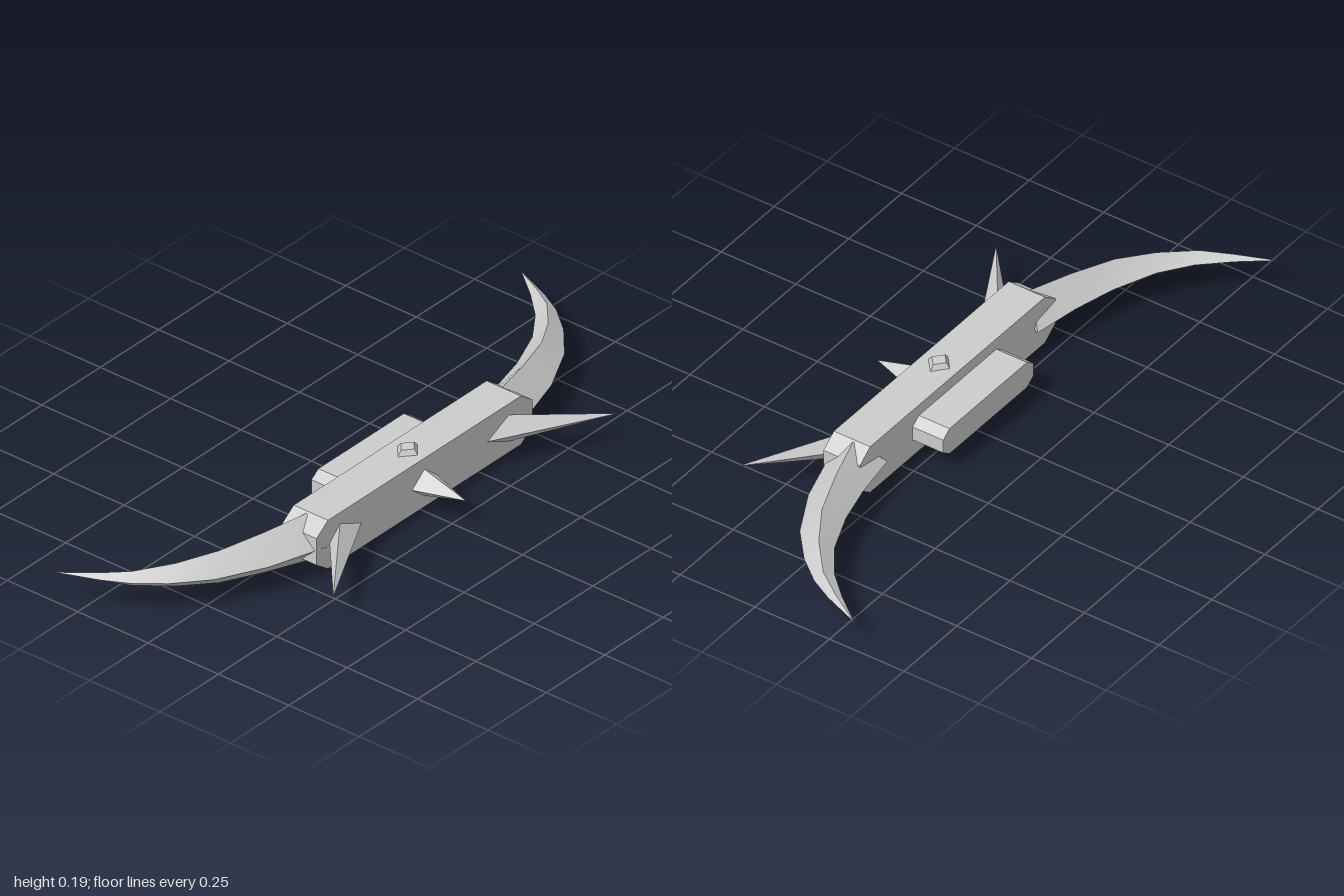
import * as THREE from 'three';

const MID = 0.0935; // height of the symmetry plane

// Skin a list of four-cornered rings; edges between the four sides stay sharp.
function loft(rings, flip = false) {
  const pos = [], idx = [];
  const tri = (a, b, c) => (flip ? idx.push(a, c, b) : idx.push(a, b, c));
  for (let j = 0; j < 4; j++) {
    const base = pos.length / 3;
    rings.forEach((r) => pos.push(...r[j], ...r[(j + 1) % 4]));
    for (let i = 0; i < rings.length - 1; i++) {
      const a = base + i * 2;
      tri(a, a + 2, a + 1);
      tri(a + 2, a + 3, a + 1);
    }
  }
  // end caps
  [rings[0], rings[rings.length - 1]].forEach((r, end) => {
    const b = pos.length / 3;
    r.forEach((p) => pos.push(...p));
    if (end) { tri(b, b + 2, b + 1); tri(b, b + 3, b + 2); }
    else { tri(b, b + 1, b + 2); tri(b, b + 2, b + 3); }
  });
  const g = new THREE.BufferGeometry();
  g.setAttribute('position', new THREE.Float32BufferAttribute(pos, 3));
  g.setIndex(idx);
  g.computeVertexNormals();
  return g;
}

// Bar along x whose ends are chamfered above and below.
function chamferedBar(halfLength, endLength, halfHeight, endHeight, z0, z1) {
  const s = new THREE.Shape([
    [-halfLength, -halfHeight], [halfLength, -halfHeight], [endLength, -endHeight], [endLength, endHeight],
    [halfLength, halfHeight], [-halfLength, halfHeight], [-endLength, endHeight], [-endLength, -endHeight],
  ].map(([x, y]) => new THREE.Vector2(x, y)));
  const g = new THREE.ExtrudeGeometry(s, { depth: z1 - z0, bevelEnabled: false });
  return g.translate(0, MID, z0);
}

// Diamond-based spike pointing forward; x0 < xc < x1 are the base corners.
function spike(x0, xc, x1, halfHeight, zBase, tip) {
  const base = [[xc, MID + halfHeight, zBase], [x1, MID, zBase], [xc, MID - halfHeight, zBase], [x0, MID, zBase]];
  return loft([base, [tip, tip, tip, tip]]);
}

export function createModel() {
  const model = new THREE.Group();
  const metal = new THREE.MeshStandardMaterial({ color: 0xcccccc });
  metal.name = 'grey metal';
  const add = (name, geometry) => {
    const m = new THREE.Mesh(geometry, metal);
    m.name = name;
    model.add(m);
  };

  // body and rear block
  add('body', chamferedBar(0.413, 0.462, 0.0785, 0.043, 0.03, 0.152));
  add('rearBlock', chamferedBar(0.183, 0.213, 0.043, 0.022, -0.073, 0.03));

  // truncated diamond studs above and below
  const diamond = (rx, rz, y) => [[rx, y, 0.092], [0, y, 0.092 + rz], [-rx, y, 0.092], [0, y, 0.092 - rz]];
  add('topStud', loft([diamond(0.043, 0.037, MID + 0.077), diamond(0.028, 0.024, 2 * MID)]));
  add('bottomStud', loft([diamond(0.028, 0.024, 0), diamond(0.043, 0.037, MID - 0.077)]));

  // front spikes
  add('centreSpike', spike(-0.053, 0, 0.053, 0.043, 0.152, [0, MID, 0.3]));
  add('leftSpike', spike(0.268, 0.36, 0.405, 0.043, 0.151, [0.61, MID, 0.334]));
  add('rightSpike', spike(-0.405, -0.36, -0.268, 0.043, 0.151, [-0.61, MID, 0.334]));

  // curved horns: front edge x z, ridge x z, back edge x z, half height
  const sections = [
    [0.425, 0.157, 0.42, 0.082, 0.355, 0.013, 0.077],
    [0.604, 0.102, 0.556, 0.043, 0.5, -0.01, 0.065],
    [0.75, 0.027, 0.69, -0.005, 0.63, -0.043, 0.052],
    [0.866, -0.08, 0.797, -0.07, 0.76, -0.096, 0.037],
    [0.91, -0.135, 0.888, -0.15, 0.85, -0.16, 0.023],
    [0.95, -0.21, 0.94, -0.228, 0.925, -0.24, 0.012],
    [1, -0.335, 1, -0.335, 1, -0.335, 0],
  ];
  // keep the outer curve evenly rounded
  sections[3].splice(0, 4, 0.845, -0.055, 0.797, -0.07);
  for (const s of [1, -1]) {
    const rings = sections.map(([fx, fz, rx, rz, bx, bz, h]) => [
      [s * fx, MID, fz], [s * rx, MID + h, rz], [s * bx, MID, bz], [s * rx, MID - h, rz],
    ]);
    add(s > 0 ? 'leftHorn' : 'rightHorn', loft(rings, s < 0));
  }
  return model;
}
